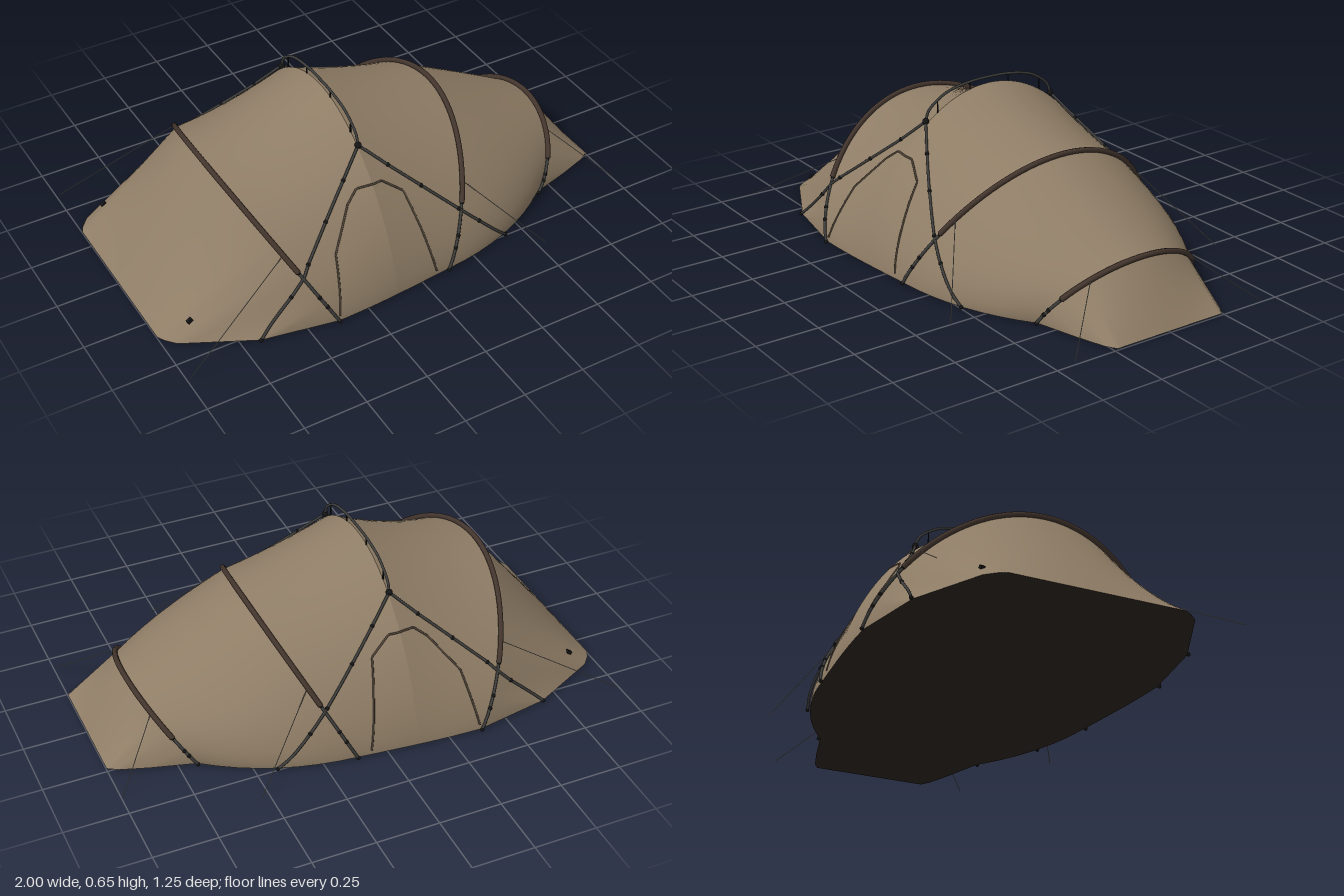
import * as THREE from 'three';

const mat = (name, color, double) => {
  const m = new THREE.MeshStandardMaterial({ color });
  m.name = name;
  if (double) m.side = THREE.DoubleSide;
  return m;
};
const V = (x, y, z) => new THREE.Vector3(x, y, z);
const COLS = 60;

// Tilted arch sections: base x, top x, height, half width, fullness
const ARCH_A = [-0.38, -0.63, 0.455, 0.6, 0.68];
const A_MID = [-0.25, -0.38, 0.51, 0.595, 0.69];
const PEAK = [-0.12, -0.125, 0.615, 0.585, 0.7];
const MID_B = [0, 0.12, 0.527, 0.573, 0.69];
const ARCH_B = [0.12, 0.36, 0.465, 0.56, 0.68];
const B_C = [0.42, 0.6, 0.338, 0.495, 0.65];
const ARCH_C = [0.68, 0.835, 0.225, 0.35, 0.6];

// Ground outlines of the two sloping ends: fraction along the arch, x, z
const REAR_HEM = [[0, -0.38, 0.6], [0.1, -0.68, 0.545], [0.2, -0.95, 0.41],
  [14 / 60, -0.985, 0.37], [16 / 60, -1, 0.34], [0.5, -1, 0]];
const FRONT_HEM = [[0, 0.68, 0.35], [0.1, 0.85, 0.302], [0.2, 0.96, 0.265],
  [16 / 60, 1, 0.24], [0.5, 1, 0]];

// Point on an arch at fraction f, pushed outward in the arch's own plane
function archPoint([bx, tx, h, w, k], f, off = 0) {
  const t = f * Math.PI, s = Math.max(0, Math.sin(t)), c = Math.cos(t);
  const y = h * Math.pow(s, 2 * k), lean = (tx - bx) / h;
  const n = V(lean * s, s, c).normalize().multiplyScalar(off);
  return V(bx + lean * y, y, w * c).add(n);
}

function hemPoint(hem, f) {
  const g = Math.min(f, 1 - f);
  let i = 1;
  while (i < hem.length - 1 && hem[i][0] < g) i++;
  const a = hem[i - 1], b = hem[i], t = Math.min(1, (g - a[0]) / (b[0] - a[0]));
  return V(a[1] + (b[1] - a[1]) * t, 0, (a[2] + (b[2] - a[2]) * t) * (f > 0.5 ? -1 : 1));
}

// Section at s along a smooth blend of three sections
const blend = (a, b, c, s) => a.map((v, i) =>
  v * (1 - s) * (1 - 2 * s) + b[i] * 4 * s * (1 - s) + c[i] * s * (2 * s - 1));

// Skin over rows of points; point(s, f) with s along x and f across the arch
function loft(point, rows) {
  const pos = [], idx = [];
  for (let r = 0; r <= rows; r++)
    for (let c = 0; c <= COLS; c++) pos.push(...point(r / rows, c / COLS).toArray());
  for (let r = 0; r < rows; r++)
    for (let c = 0; c < COLS; c++) {
      const a = r * (COLS + 1) + c, b = a + COLS + 1;
      idx.push(a, b, a + 1, b, b + 1, a + 1);
    }
  const g = new THREE.BufferGeometry();
  g.setAttribute('position', new THREE.Float32BufferAttribute(pos, 3));
  g.setIndex(idx);
  g.computeVertexNormals();
  return g;
}

export function createModel() {
  const fabric = mat('canopy fabric', 0x8f7d66, true);
  const floorMat = mat('groundsheet', 0x2a231e);
  const sleeveMat = mat('pole sleeve', 0x43352d);
  const poleMat = mat('pole grey', 0x3c3c3b);
  const clipMat = mat('clip black', 0x151515);
  const seamMat = mat('door seam', 0x4d4236);
  const cordMat = mat('guy cord', 0x9a9890);

  const model = new THREE.Group();
  model.name = 'tunnelTent';
  const add = (name, geo, material, p) => {
    const m = new THREE.Mesh(geo, material);
    m.name = name;
    if (p) m.position.copy(p);
    model.add(m);
    return m;
  };
  const tube = (name, pts, r, material, seg = 48, tension = 0.5) =>
    add(name, new THREE.TubeGeometry(
      new THREE.CatmullRomCurve3(pts, false, 'catmullrom', tension), seg, r, 8), material);
  const clip = (p, r = 0.009) => add('clip', new THREE.SphereGeometry(r, 10, 8), clipMat, p);
  const flip = (p, side) => V(p.x, p.y, p.z * side);

  // Canopy panels
  const canopy = [
    add('rearPanel', loft((s, f) => hemPoint(REAR_HEM, f).lerp(archPoint(ARCH_A, f), s), 8), fabric),
    add('rearRoof', loft((s, f) => archPoint(blend(ARCH_A, A_MID, PEAK, s), f), 6), fabric),
    add('middleRoof', loft((s, f) => archPoint(blend(PEAK, MID_B, ARCH_B, s), f), 6), fabric),
    add('frontRoof', loft((s, f) => archPoint(blend(ARCH_B, B_C, ARCH_C, s), f), 8), fabric),
    add('frontPanel', loft((s, f) => archPoint(ARCH_C, f).lerp(hemPoint(FRONT_HEM, f), s), 6), fabric),
  ];

  // Groundsheet, following the hem
  const half = [];
  for (let i = 16; i >= 0; i--) half.push(hemPoint(REAR_HEM, i / COLS));
  for (const [a, b, c] of [[ARCH_A, A_MID, PEAK], [PEAK, MID_B, ARCH_B], [ARCH_B, B_C, ARCH_C]])
    for (let i = 1; i <= 6; i++) half.push(archPoint(blend(a, b, c, i / 6), 0));
  for (let i = 1; i <= 16; i++) half.push(hemPoint(FRONT_HEM, i / COLS));
  const outline = [...half, ...half.slice().reverse().map((p) => flip(p, -1))];
  const sheet = new THREE.ShapeGeometry(new THREE.Shape(outline.map((p) => new THREE.Vector2(p.x, p.z))));
  add('groundsheet', sheet.rotateX(Math.PI / 2), floorMat);

  // Finds the canopy's side surface at a given x and y
  const ray = new THREE.Raycaster();
  model.updateMatrixWorld(true);
  const onSide = (x, y, off) => {
    ray.set(V(x, Math.max(y, 0.003), 2), V(0, 0, -1));
    const hit = ray.intersectObjects(canopy)[0];
    return V(x, y, (hit ? hit.point.z : 0.5) + off);
  };
  const along = (pts, steps, off) => {
    const out = [];
    pts.forEach(([x, y], i) => {
      if (!i) return out.push(onSide(x, y, off));
      const [px, py] = pts[i - 1];
      for (let j = 1; j <= steps; j++)
        out.push(onSide(px + (x - px) * j / steps, py + (y - py) * j / steps, off));
    });
    return out;
  };

  // Arched poles: thin clipped feet, thick sleeve over the top
  for (const [name, arch, f0] of [['rearArch', ARCH_A, 0.19], ['middleArch', ARCH_B, 0.19], ['frontArch', ARCH_C, 0.18]]) {
    const span = (a, b, off) => Array.from({ length: 25 }, (_, i) => archPoint(arch, a + (b - a) * i / 24, off));
    tube(name + 'Sleeve', span(f0, 1 - f0, 0.008), 0.0105, sleeveMat, 72);
    for (const side of [1, -1]) {
      tube(name + 'Foot', span(0, f0, 0.006).map((p) => flip(p, side)), 0.006, poleMat, 24);
      for (const f of [0.005, f0 * 0.45, f0 * 0.62, f0])
        clip(flip(archPoint(arch, f, 0.007), side), 0.008);
    }
  }

  // Ridge hoop standing above the peak, with short struts
  const hoop = [[0.295, 0.515], [0.275, 0.562], [0.2, 0.612], [0.1, 0.634]];
  tube('ridgeHoop', [...hoop.map(([z, y]) => V(-0.125, y, z)), V(-0.125, 0.639, 0),
    ...hoop.slice().reverse().map(([z, y]) => V(-0.125, y, -z))], 0.0055, poleMat);
  for (const side of [1, -1]) {
    for (const [z, y0, y1] of [[0.24, 0.53, 0.59], [0.09, 0.59, 0.635]])
      add('hoopStrut', new THREE.CylinderGeometry(0.003, 0.003, y1 - y0, 6), clipMat,
        V(-0.125, (y0 + y1) / 2, z * side));
    clip(V(-0.125, 0.515, 0.295 * side), 0.0135).name = 'poleHub';

    // Crossing side poles from hub to ground
    for (const [name, path] of [
      ['rearSidePole', [[-0.22, 0.425], [-0.335, 0.325], [-0.45, 0.225], [-0.54, 0.132], [-0.68, 0.004]]],
      ['frontSidePole', [[-0.03, 0.425], [0.08, 0.325], [0.21, 0.205], [0.29, 0.13], [0.42, 0.004]]]]) {
      const pts = [V(-0.125, 0.515, 0.295), ...along(path, 3, 0.009)].map((p) => flip(p, side));
      tube(name, pts, 0.0055, poleMat);
      for (const [x, y] of path) clip(flip(onSide(x, y, 0.009), side), 0.008);
    }

    // Door outline
    const door = [[-0.375, 0.02], [-0.335, 0.225], [-0.235, 0.355], [-0.185, 0.395],
      [-0.13, 0.4], [-0.08, 0.395], [0, 0.335], [0.03, 0.2], [0.065, 0.02]];
    tube('doorSeam', along(door, 4, 0.001).map((p) => flip(p, side)), 0.004, seamMat, 96, 0);

    // Guy lines
    for (const [arch, f, x, z] of [[ARCH_A, 0.235, -0.99, 0.595], [ARCH_B, 0.235, 0.53, 0.622], [ARCH_C, 0.3, 1, 0.425]]) {
      const a = archPoint(arch, f, 0.01);
      add('guyLine', new THREE.TubeGeometry(
        new THREE.LineCurve3(flip(a, side), V(x, 0.002, z * side)), 1, 0.0016, 5), cordMat);
    }

    // Vent toggle on the rear panel
    const toggle = add('ventToggle', new THREE.BoxGeometry(0.022, 0.014, 0.014), clipMat,
      flip(onSide(-0.885, 0.062, 0.004), side));
    toggle.rotation.z = 0.6;
  }
  return model;
}
